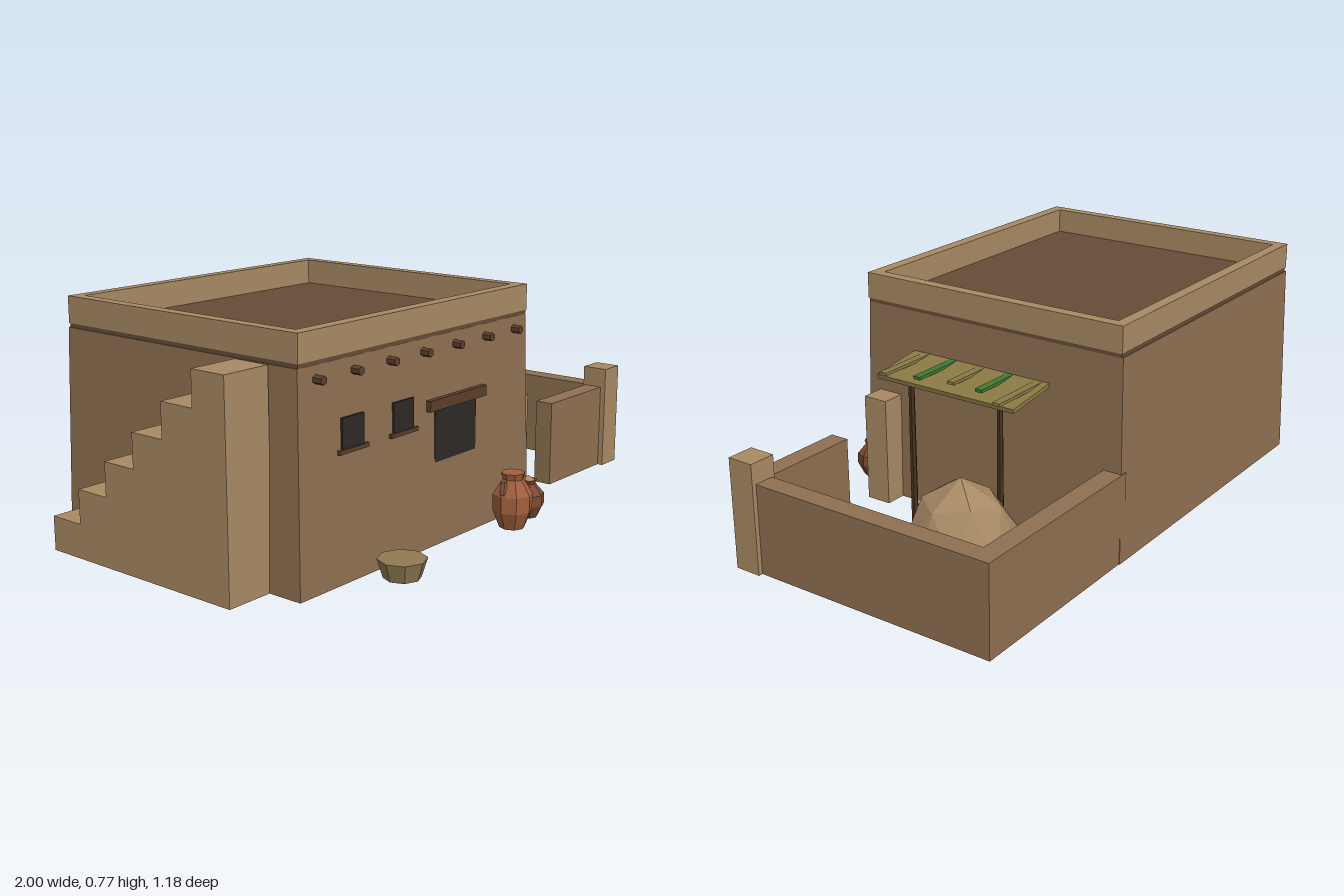
import * as THREE from 'three';

const mat = (color) => new THREE.MeshStandardMaterial({ color, flatShading: true, roughness: 0.9 });
const M = {
  adobe: mat(0x8f7051), trim: mat(0xa88a64), roof: mat(0x664d37), dark: mat(0x2e2925),
  wood: mat(0x5a3f2a), post: mat(0x46321f), straw: mat(0x8a7a45), green: mat(0x3f7a35),
  clay: mat(0xa05f3f), darkClay: mat(0x7c4a33), basket: mat(0x8f7a52), lid: mat(0xb08a60),
};

export function createModel() {
  const root = new THREE.Group();

  const add = (name, geo, material, x = 0, y = 0, z = 0, parent = root) => {
    const mesh = new THREE.Mesh(geo, material);
    mesh.name = name;
    mesh.position.set(x, y, z);
    parent.add(mesh);
    return mesh;
  };
  // Box given by its extents
  const box = (name, material, x0, x1, y0, y1, z0, z1, parent = root) =>
    add(name, new THREE.BoxGeometry(x1 - x0, y1 - y0, z1 - z0), material,
      (x0 + x1) / 2, (y0 + y1) / 2, (z0 + z1) / 2, parent);
  const group = (name, x = 0, y = 0, z = 0) => {
    const g = new THREE.Group();
    g.name = name;
    g.position.set(x, y, z);
    root.add(g);
    return g;
  };

  // House body, leaning in towards the top
  const body = new THREE.BoxGeometry(1.15, 0.67, 1.01);
  const p = body.attributes.position;
  for (let i = 0; i < p.count; i++) {
    if (p.getY(i) > 0) p.setXYZ(i, p.getX(i) * 0.972, p.getY(i), p.getZ(i) * 0.968);
  }
  body.computeVertexNormals();
  add('houseBody', body, M.adobe, -0.265, 0.335, -0.085);

  // Flat roof and parapet
  box('roof', M.roof, -0.82, 0.295, 0.67, 0.685, -0.57, 0.403);
  const parapet = group('parapet');
  box('parapetFront', M.trim, -0.822, 0.298, 0.683, 0.77, 0.364, 0.405, parapet);
  box('parapetBack', M.trim, -0.822, 0.298, 0.683, 0.77, -0.573, -0.535, parapet);
  box('parapetRight', M.trim, -0.822, -0.784, 0.683, 0.77, -0.535, 0.364, parapet);
  box('parapetLeft', M.trim, 0.26, 0.298, 0.683, 0.77, -0.535, 0.364, parapet);

  // Roof beam ends
  for (let i = 0; i < 7; i++) {
    const beam = add('beamEnd', new THREE.CylinderGeometry(0.014, 0.014, 0.06, 6), M.wood,
      -0.75 + i * 0.162, 0.63, 0.406);
    beam.rotation.x = Math.PI / 2;
  }

  // Windows with sills, doorway with lintel
  for (const x of [-0.602, -0.368]) {
    box('window', M.dark, x - 0.048, x + 0.048, 0.405, 0.5, 0.39, 0.416);
    box('windowSill', M.wood, x - 0.065, x + 0.065, 0.394, 0.407, 0.39, 0.421);
  }
  box('doorway', M.dark, -0.21, 0.006, 0.01, 0.445, 0.38, 0.4135);
  box('doorLintel', M.wood, -0.25, 0.045, 0.44, 0.475, 0.39, 0.426);

  // Outside stair, rising towards the front
  const run = 0.77 / 6;
  for (let i = 0; i < 6; i++) {
    box('stairStep', M.trim, -1, -0.83, 0, 0.67 * (i + 1) / 6, -0.47 + i * run, -0.47 + (i + 1) * run);
  }

  // Yard walls and gate pillars
  box('yardWallBack', M.adobe, 0.28, 0.985, 0, 0.3, -0.587, -0.52);
  box('yardWallSide', M.adobe, 0.918, 0.985, 0, 0.3, -0.52, 0.31);
  box('yardWallFront', M.adobe, 0.57, 0.93, 0, 0.3, 0.28, 0.345);
  box('cornerPillar', M.trim, 0.907, 1, 0, 0.37, 0.272, 0.364);
  box('gatePillar', M.trim, 0.303, 0.384, 0, 0.37, 0.275, 0.364);

  // Awning: sloping mat, level slats and two posts
  const awning = group('awning');
  const sheet = box('awningMat', M.straw, 0.29, 0.488, 0.51, 0.524, -0.315, 0.215, awning);
  sheet.rotation.z = -0.13;
  const slats = [[-0.278, 0.526, M.straw], [-0.168, 0.464, M.green], [-0.058, 0.46, M.straw],
    [0.055, 0.486, M.green], [0.165, 0.518, M.straw]];
  for (const [z, end, material] of slats) {
    box('awningSlat', material, 0.295, end, 0.526, 0.536, z - 0.013, z + 0.013, awning);
  }
  for (const z of [0.123, -0.224]) {
    add('awningPost', new THREE.CylinderGeometry(0.01, 0.012, 0.51, 6), M.post, 0.43, 0.255, z, awning);
  }

  // Domed oven: tall faceted dome cut flat at the ground, with a dark mouth
  const dome = new THREE.IcosahedronGeometry(1, 1);
  dome.rotateY(0.9);
  dome.scale(0.203, 0.39, 0.203);
  const d = dome.attributes.position;
  for (let i = 0; i < d.count; i++) d.setY(i, Math.max(0, d.getY(i)));
  dome.computeVertexNormals();
  add('oven', dome, M.trim, 0.752, 0.002, -0.318);
  box('ovenMouth', M.dark, 0.7, 0.8, 0.005, 0.12, -0.2, -0.118);

  // Clay pots turned from profiles
  const lathe = (points, sides) =>
    new THREE.LatheGeometry(points.map(([r, y]) => new THREE.Vector2(r, y)), sides);
  const tall = group('tallPot', 0.095, 0, 0.503);
  add('tallPotBody', lathe([[0, 0], [0.042, 0], [0.066, 0.06], [0.066, 0.115], [0.034, 0.165],
    [0.04, 0.186], [0, 0.184]], 8), M.clay, 0, 0, 0, tall);
  for (const s of [-1, 1]) {
    box('tallPotHandle', M.clay, s * 0.053 - 0.008, s * 0.053 + 0.008, 0.1, 0.163, -0.008, 0.008, tall);
  }
  const small = group('smallPot', 0.222, 0, 0.48);
  add('smallPotBody', lathe([[0, 0], [0.033, 0], [0.055, 0.045], [0.054, 0.08], [0.024, 0.115],
    [0.029, 0.128], [0, 0.128]], 8), M.darkClay, 0, 0, 0, small);
  add('smallPotLid', new THREE.ConeGeometry(0.024, 0.016, 8), M.lid, 0, 0.134, 0, small);

  // Basket
  add('basket', new THREE.CylinderGeometry(0.077, 0.058, 0.06, 8), M.basket, -0.495, 0.03, 0.512);

  return root;
}
